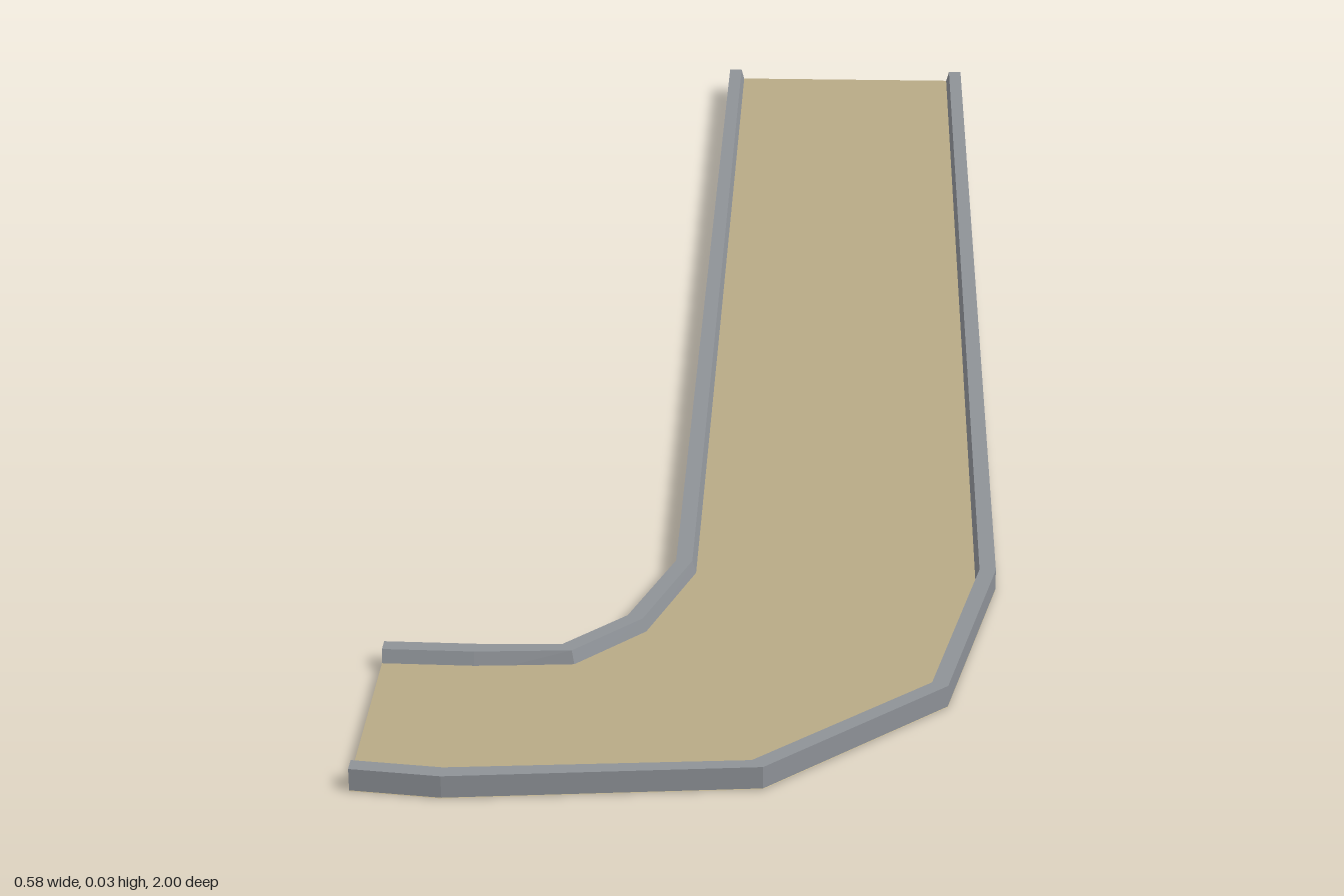
import * as THREE from 'three';

// Stations along the road: outer edge x, z, inner edge x, z, base height
const STATIONS = [
  [-0.292, 0.99, -0.292, 0.745, 0],
  [-0.21, 1.0, -0.205, 0.747, 0],
  [0.07, 0.973, -0.125, 0.745, 0],
  [0.235, 0.815, -0.067, 0.682, 0],
  [0.287, 0.57, -0.027, 0.56, 0],
  [0.292, -1, -0.03, -1, 0.012],
];
const CURB_HEIGHT = 0.022;
const ROAD_HEIGHT = 0.009;

// Sweeps a four-cornered section along the stations.
// Each corner is [side, inset, height]: side 0 = outer edge, 1 = inner edge.
function sweep(name, section, material) {
  const rings = STATIONS.map(([ox, oz, ix, iz, base]) => {
    const outer = new THREE.Vector3(ox, base, oz);
    const inner = new THREE.Vector3(ix, base, iz);
    const width = outer.distanceTo(inner);
    return section.map(([side, inset, height]) => {
      const t = side === 0 ? inset / width : 1 - inset / width;
      const p = outer.clone().lerp(inner, t);
      p.y += height;
      return p;
    });
  });
  const points = [];
  const quad = (a, b, c, d) => points.push(a, b, c, a, c, d);
  for (let i = 0; i < rings.length - 1; i++) {
    for (let k = 0; k < 4; k++) {
      const n = (k + 1) % 4;
      quad(rings[i][k], rings[i + 1][k], rings[i + 1][n], rings[i][n]);
    }
  }
  // End caps
  const last = rings[rings.length - 1];
  quad(...rings[0]);
  quad(...last.slice().reverse());

  const geometry = new THREE.BufferGeometry().setFromPoints(points);
  geometry.computeVertexNormals();
  const mesh = new THREE.Mesh(geometry, material);
  mesh.name = name;
  return mesh;
}

export function createModel() {
  const sand = new THREE.MeshStandardMaterial({ color: 0xb8aa86 });
  sand.name = 'sand';
  const grey = new THREE.MeshStandardMaterial({ color: 0x8e9297 });
  grey.name = 'curb grey';

  const group = new THREE.Group();
  group.name = 'curvedRoad';

  // Road slab, whose underside reaches out beneath the curbs
  group.add(sweep('roadSlab', [
    [0, 0, 0], [0, 0.012, ROAD_HEIGHT], [1, 0.012, ROAD_HEIGHT], [1, 0, 0],
  ], sand));

  // Curbs with a slightly sloped road-facing side
  group.add(sweep('outerCurb', [
    [0, 0, 0.0008], [0, 0, CURB_HEIGHT], [0, 0.016, CURB_HEIGHT], [0, 0.022, 0.0008],
  ], grey));
  group.add(sweep('innerCurb', [
    [1, 0.022, 0.0008], [1, 0.016, CURB_HEIGHT], [1, 0, CURB_HEIGHT], [1, 0, 0.0008],
  ], grey));

  return group;
}
